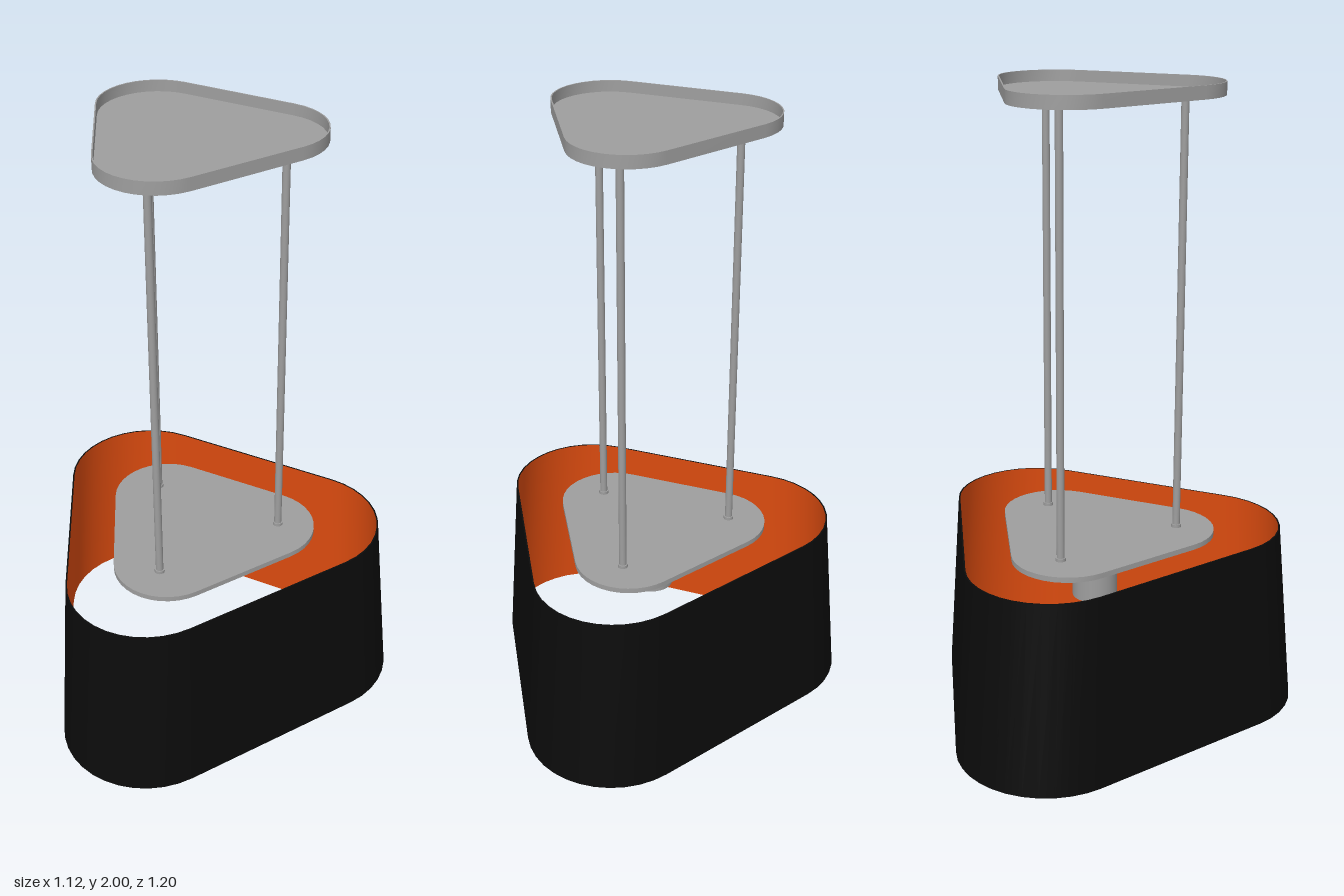
import * as THREE from 'three';

const CX = -0.092; // shared axis of the rounded triangles
const ARC = 12;    // segments per rounded corner

// Rounded triangle pointing to +x: corner distance R, corner radius r
function outline(R, r) {
  const pts = [];
  for (let k = 0; k < 3; k++) {
    const a = (k * 2 * Math.PI) / 3;
    for (let i = 0; i <= ARC; i++) {
      const t = a - Math.PI / 3 + (i / ARC) * (2 * Math.PI / 3);
      pts.push([R * Math.cos(a) + r * Math.cos(t), R * Math.sin(a) + r * Math.sin(t)]);
    }
  }
  return pts;
}

// Sweeps a profile of [R, r, y] rings; each band has its own vertices, so profile edges stay sharp
function loft(profile) {
  const pos = [], idx = [];
  for (let s = 0; s < profile.length - 1; s++) {
    const base = pos.length / 3;
    let n = 0;
    for (const [R, r, y] of [profile[s], profile[s + 1]]) {
      const ring = outline(R, r);
      n = ring.length;
      for (const [x, z] of ring) pos.push(x, y, z);
    }
    for (let i = 0; i < n; i++) {
      const j = (i + 1) % n;
      const a = base + i, b = base + j, c = a + n, d = b + n;
      idx.push(a, c, b, b, c, d);
    }
  }
  const g = new THREE.BufferGeometry();
  g.setAttribute('position', new THREE.Float32BufferAttribute(pos, 3));
  g.setIndex(idx);
  g.computeVertexNormals();
  return g;
}

export function createModel() {
  const black = new THREE.MeshStandardMaterial({ color: 0x0b0b0b });
  black.name = 'black shade';
  const orange = new THREE.MeshStandardMaterial({ color: 0xe04d10 });
  orange.name = 'orange lining';
  const grey = new THREE.MeshStandardMaterial({ color: 0x9e9e9e });
  grey.name = 'grey metal';

  const lamp = new THREE.Group();
  lamp.name = 'pendantLamp';
  const body = new THREE.Group();
  body.name = 'lampBody';
  body.position.x = CX;
  lamp.add(body);
  const add = (name, geometry, material, x = 0, y = 0, z = 0) => {
    const m = new THREE.Mesh(geometry, material);
    m.name = name;
    m.position.set(x, y, z);
    body.add(m);
  };

  // Tapered shade: black outside with thin rims, orange lining
  const R0 = 0.366, r0 = 0.283, R1 = 0.336, r1 = 0.259, H = 0.6, T = 0.005;
  add('shadeOuter', loft([[R0, r0, 0], [R1, r1, H]]), black);
  add('shadeTopRim', loft([[R1, r1, H], [R1, r1 - T, H]]), black);
  add('shadeBottomRim', loft([[R0, r0 - T, 0], [R0, r0, 0]]), black);
  add('shadeLining', loft([[R1, r1 - T, H], [R0, r0 - T, 0]]), orange);

  // Ceiling canopy: shallow tray open at the top
  const R = 0.207, r = 0.175;
  add('canopy', loft([
    [0, 0, 1.96], [R, r, 1.96], [R, r, 2], [R, r - 0.004, 2], [R, r - 0.004, 1.965], [0, 0, 1.965],
  ]), grey);

  // Carrier plate just inside the top of the shade
  add('carrierPlate', loft([
    [0, 0, 0.573], [R, r, 0.573], [R, r, 0.59], [0, 0, 0.59],
  ]), grey);

  // Lamp holder under the plate
  add('lampHolder', new THREE.CylinderGeometry(0.072, 0.072, 0.206, 32), grey, 0, 0.47, 0);

  // Three suspension rods with small feet
  const rod = new THREE.CylinderGeometry(0.012, 0.012, 1.387, 16);
  const foot = new THREE.CylinderGeometry(0.016, 0.016, 0.012, 16);
  for (let k = 0; k < 3; k++) {
    const a = (k * 2 * Math.PI) / 3;
    const x = 0.262 * Math.cos(a), z = 0.262 * Math.sin(a);
    add('suspensionRod', rod, grey, x, 0.58 + 1.387 / 2 - 0.004, z);
    add('rodFoot', foot, grey, x, 0.594, z);
  }
  return lamp;
}
